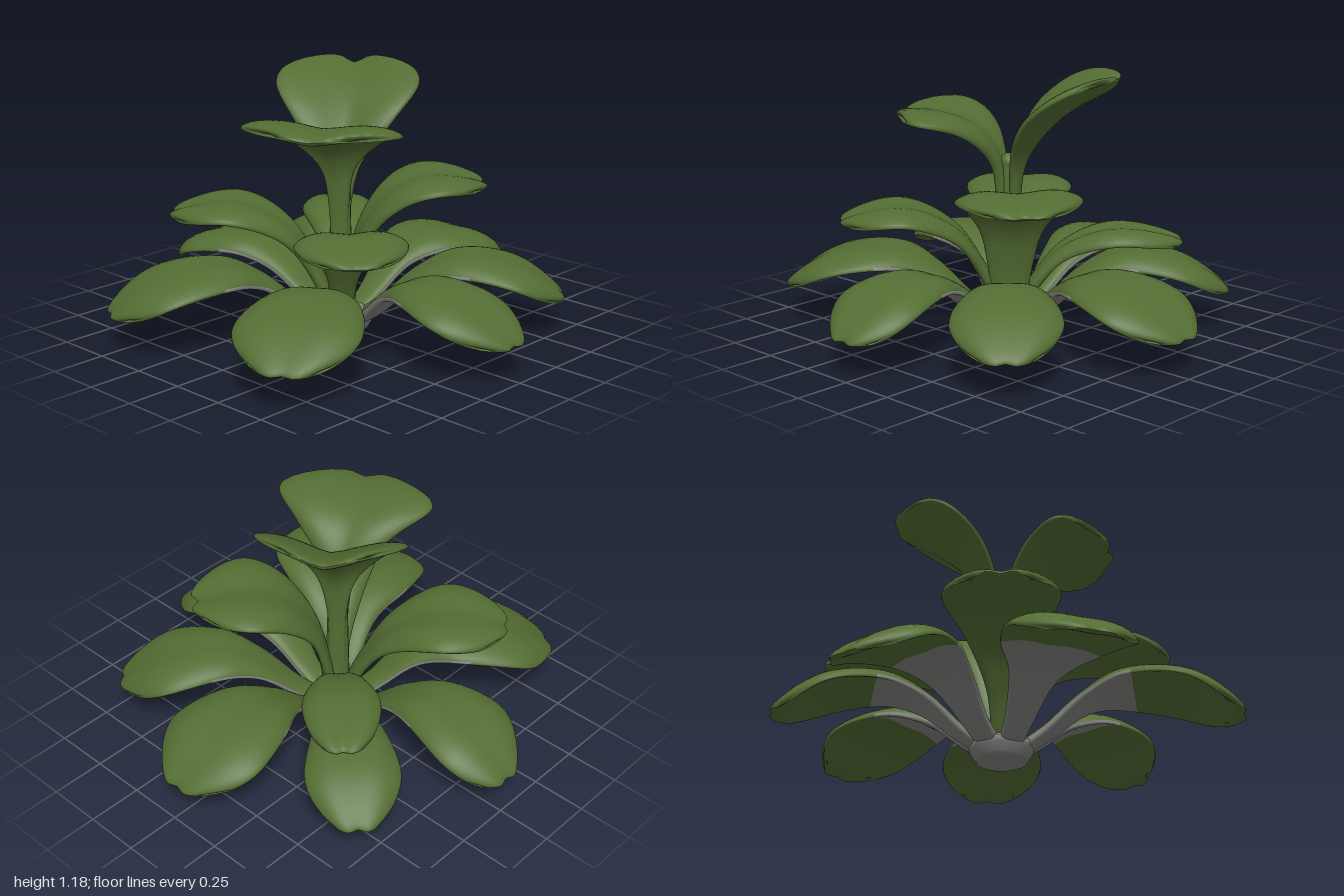
import * as THREE from 'three';

const green = new THREE.MeshStandardMaterial({ color: 0x546d33 });
green.name = 'leafGreen';
const grey = new THREE.MeshStandardMaterial({ color: 0x848482 });
grey.name = 'undersideGrey';

const ROWS = 36, AROUND = 36;

// Closed leaf swept along a spine of [distance from stem, height, half width].
// fold lifts the edges into a V, curl bends the rim down, sway shifts the blade sideways,
// greyTo is the grey reach of the underside.
function makeLeaf({ spine, fold = 0.02, curl = 0.06, notch = 0.02, thick = 0.028, sway = 0, greyTo = 0 }) {
  const curve = new THREE.CatmullRomCurve3(spine.map(p => new THREE.Vector3(...p)));
  const pos = [], top = [], under = [], radii = [];
  const endWidth = spine[spine.length - 1][2];
  for (let i = 0; i <= ROWS; i++) {
    const s = i / ROWS, t = 1 - (1 - s) ** 1.7;
    const p = curve.getPoint(t), d = curve.getTangent(t);
    const len = Math.hypot(d.x, d.y) || 1, tx = d.x / len, ty = d.y / len;
    const k = Math.max(0, (t - 0.68) / 0.32);
    const cap = Math.sqrt(1 - 0.72 * k ** 3.2);             // narrowing towards the tip
    const rim = Math.sqrt(Math.max(0, 1 - k ** 6));         // blade closes at the tip
    const blade = THREE.MathUtils.smoothstep(t, 0.25, 0.7); // petiole to blade
    const shift = sway * Math.sin(Math.PI * t * t);
    radii.push(p.x);
    for (let j = 0; j < AROUND; j++) {
      const a = j / AROUND * Math.PI * 2, u = Math.cos(a), v = Math.sin(a), m = Math.abs(u);
      const lift = blade * (cap * fold * (Math.sqrt(m * m + 0.01) - 0.1) - cap * curl * m ** 3)
        + thick * rim * Math.sign(v) * Math.abs(v) ** 0.7;
      // rounded end with a shallow notch at the midrib
      const along = k ** 3 * (endWidth * 0.36 * (Math.abs(v) - 1) - notch * Math.exp(-((u / 0.25) ** 2)));
      pos.push(p.x - ty * lift + tx * along, p.y + tx * lift + ty * along, p.z * cap * u + shift);
    }
  }
  for (let i = 0; i < ROWS; i++) for (let j = 0; j < AROUND; j++) {
    const n = (j + 1) % AROUND, a = i * AROUND + j, b = a + AROUND;
    const c = (i + 1) * AROUND + n, e = i * AROUND + n;
    const below = Math.sin((j + 0.5) / AROUND * Math.PI * 2) < 0.1;
    (below && radii[i] < greyTo ? under : top).push(a, b, c, a, c, e);
  }
  const geo = new THREE.BufferGeometry();
  geo.setAttribute('position', new THREE.Float32BufferAttribute(pos, 3));
  geo.setIndex([...top, ...under]);
  geo.addGroup(0, top.length, 0);
  geo.addGroup(top.length, under.length, 1);
  geo.computeVertexNormals();
  return new THREE.Mesh(geo, [green, grey]);
}

// Drooping outer leaf of given length and half width
const outerSpine = (L, w) => [
  [0.06, 0.04, 0.05], [0.2, 0.13, 0.065], [0.36, 0.26, 0.11],
  [0.53, 0.33, w * 0.76], [L * 0.77, 0.295, w], [L, 0.155, w * 0.9]];

// Arching middle leaf reaching height h
const middleSpine = (L, w, h) => [
  [0.03, 0.08, 0.05], [0.12, h * 0.5, 0.07], [0.25, h * 0.82, w * 0.6],
  [0.47, h, w], [L, h - 0.04, w * 0.9]];

export function createModel() {
  const model = new THREE.Group();
  const plant = new THREE.Group();
  plant.name = 'plant';
  plant.position.x = -0.03;
  model.add(plant);

  const add = (name, degrees, options) => {
    const leaf = makeLeaf(options);
    leaf.name = name;
    leaf.rotation.y = -THREE.MathUtils.degToRad(degrees);
    plant.add(leaf);
  };

  // Outer ring: direction, length, half width, sway
  const outer = [[0, 1.02, 0.27, 0], [47, 1.01, 0.24, 0], [90, 1.0, 0.235, 0.04], [149, 1.05, 0.275, 0],
    [211, 1.05, 0.275, 0], [270, 1.01, 0.23, -0.04], [-48, 1.01, 0.21, 0]];
  outer.forEach(([deg, L, w, sway], i) =>
    add('outerLeaf' + (i + 1), deg, { spine: outerSpine(L, w), sway, greyTo: 0.54 }));

  // Middle ring: direction, length, half width, height
  const middle = [[232, 0.77, 0.25, 0.56], [131, 0.76, 0.24, 0.55], [-45, 0.79, 0.17, 0.435]];
  middle.forEach(([deg, L, w, h], i) =>
    add('middleLeaf' + (i + 1), deg, { spine: middleSpine(L, w, h), fold: 0.05 }));

  // Upright leaf with a broad clasping stalk
  add('middleLeaf4', 40, {
    spine: [[0.03, 0.1, 0.07], [0.06, 0.3, 0.1], [0.12, 0.48, 0.14],
      [0.25, 0.63, 0.23], [0.4, 0.685, 0.28], [0.66, 0.655, 0.25]],
    fold: 0.06, notch: 0.04 });

  // Two crown leaves
  add('crownLeafLow', 152, {
    spine: [[0.025, 0.3, 0.04], [0.025, 0.58, 0.045], [0.05, 0.76, 0.08],
      [0.14, 0.9, 0.22], [0.3, 0.965, 0.36], [0.51, 0.97, 0.33]],
    fold: 0.08, curl: 0.06, notch: 0.03 });
  add('crownLeafTall', -36, {
    spine: [[0.025, 0.3, 0.04], [0.025, 0.58, 0.045], [0.05, 0.76, 0.09],
      [0.13, 0.9, 0.22], [0.27, 1.03, 0.33], [0.51, 1.15, 0.31]],
    fold: 0.13, curl: 0.04, notch: 0.04 });

  // Central stem with a small bud
  const stem = new THREE.Mesh(new THREE.CylinderGeometry(0.04, 0.06, 0.72, 14), green);
  stem.name = 'stem';
  stem.position.y = 0.42;
  const bud = new THREE.Mesh(new THREE.SphereGeometry(0.042, 14, 10), green);
  bud.name = 'bud';
  bud.position.y = 0.77;
  plant.add(stem, bud);

  // Flared foot where the outer stalks join
  const profile = [[0, 0], [0.11, 0], [0.12, 0.015], [0.14, 0.05], [0.145, 0.075], [0.1, 0.1], [0, 0.1]];
  const foot = new THREE.Mesh(
    new THREE.LatheGeometry(profile.map(p => new THREE.Vector2(...p)), 24), grey);
  foot.name = 'foot';
  foot.position.x = 0.01;
  plant.add(foot);
  return model;
}
